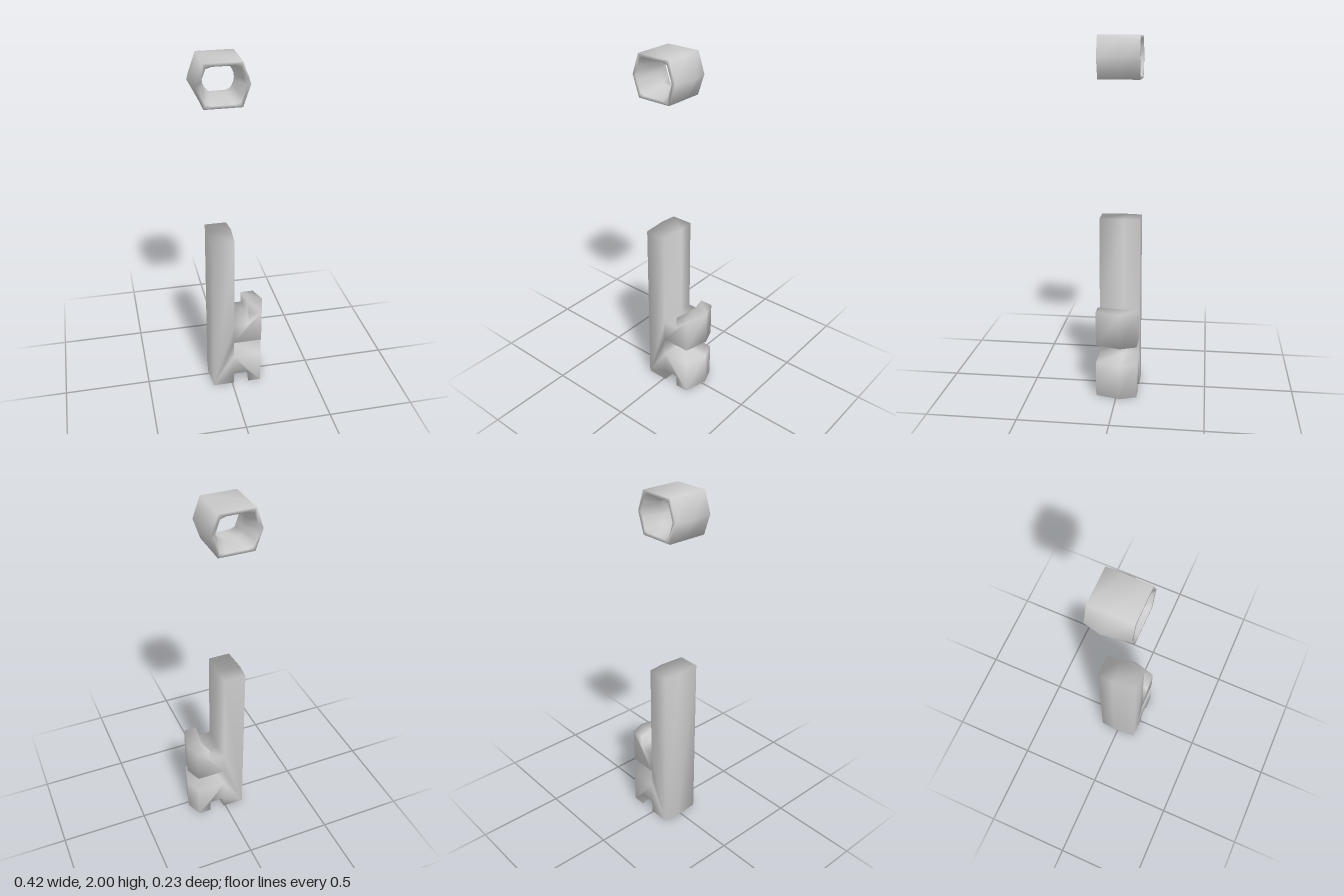
import * as THREE from 'three';
import { mergeVertices } from 'three/addons/utils/BufferGeometryUtils.js';

const material = new THREE.MeshStandardMaterial({ color: 0xcccccc });
const LAYER_Z = [-0.115, -0.025, 0.115]; // back, bulged middle, front

// Extrude a shape through three layers; bulge(x, y) gives the middle layer's outline.
function bulgedPart(name, shape, bulge) {
  let geometry = new THREE.ExtrudeGeometry(shape, { depth: 2, steps: 2, bevelEnabled: false });
  const pos = geometry.attributes.position;
  for (let i = 0; i < pos.count; i++) {
    const layer = Math.round(pos.getZ(i));
    let x = pos.getX(i), y = pos.getY(i);
    if (layer === 1) [x, y] = bulge(x, y);
    pos.setXYZ(i, x, y, LAYER_Z[layer]);
  }
  // Weld all corners so the shading flows smoothly over the edges
  geometry.deleteAttribute('uv');
  geometry.deleteAttribute('normal');
  geometry.clearGroups();
  geometry = mergeVertices(geometry, 1e-4);
  geometry.computeVertexNormals();
  const mesh = new THREE.Mesh(geometry, material);
  mesh.name = name;
  return mesh;
}

const toPoints = (list) => list.map(([x, y]) => new THREE.Vector2(x, y));

// Shaft with two stepped teeth on its left side
function createShaft() {
  const L = -0.115, S = 0.01, N = 0.1, T = 0.175;
  const outline = [
    [L, 0], [S, 0], [S, 0.07], [N, 0.07], [N, 0], [T, 0], [T, 0.2], [S, 0.2],
    [S, 0.305], [T, 0.305], [T, 0.505], [N, 0.505], [N, 0.435], [S, 0.435], [S, 1], [L, 1],
  ];
  return bulgedPart('shaftWithTeeth', new THREE.Shape(toPoints(outline)), (x, y) => {
    const shift = x < 0 ? -0.01 : x < 0.05 ? 0.01 : x < 0.15 ? 0.02 : 0.035;
    return [x + shift, y];
  });
}

// Six-sided ring whose opening narrows from a hexagon to a circle
function createRing() {
  const halfW = 0.14, halfFlat = 0.1, halfH = 0.115, holeRadius = 0.083;
  const shape = new THREE.Shape(toPoints([
    [halfW, 0], [halfFlat, halfH], [-halfFlat, halfH],
    [-halfW, 0], [-halfFlat, -halfH], [halfFlat, -halfH],
  ]));
  const hole = [];
  const count = 24;
  for (let i = 0; i < count; i++) {
    const a = (-i / count) * Math.PI * 2;
    const c = Math.abs(Math.cos(a)), s = Math.abs(Math.sin(a));
    const r = 0.85 * Math.min(halfH / Math.max(s, 1e-6), 0.1322 / (0.944 * c + 0.328 * s));
    hole.push([r * Math.cos(a), r * Math.sin(a)]);
  }
  shape.holes.push(new THREE.Path(toPoints(hole)));

  const ring = bulgedPart('hexagonalRing', shape, (x, y) => {
    const r = Math.hypot(x, y);
    if (Math.abs(y) < 0.11 && r < 0.13) return [(x / r) * holeRadius, (y / r) * holeRadius];
    return [Math.abs(y) < 0.01 ? x + Math.sign(x) * 0.02 : x, y];
  });
  ring.position.set(-0.05, 1.885, 0);
  return ring;
}

export function createModel() {
  const model = new THREE.Group();
  model.name = 'key';
  model.add(createShaft(), createRing());
  return model;
}
